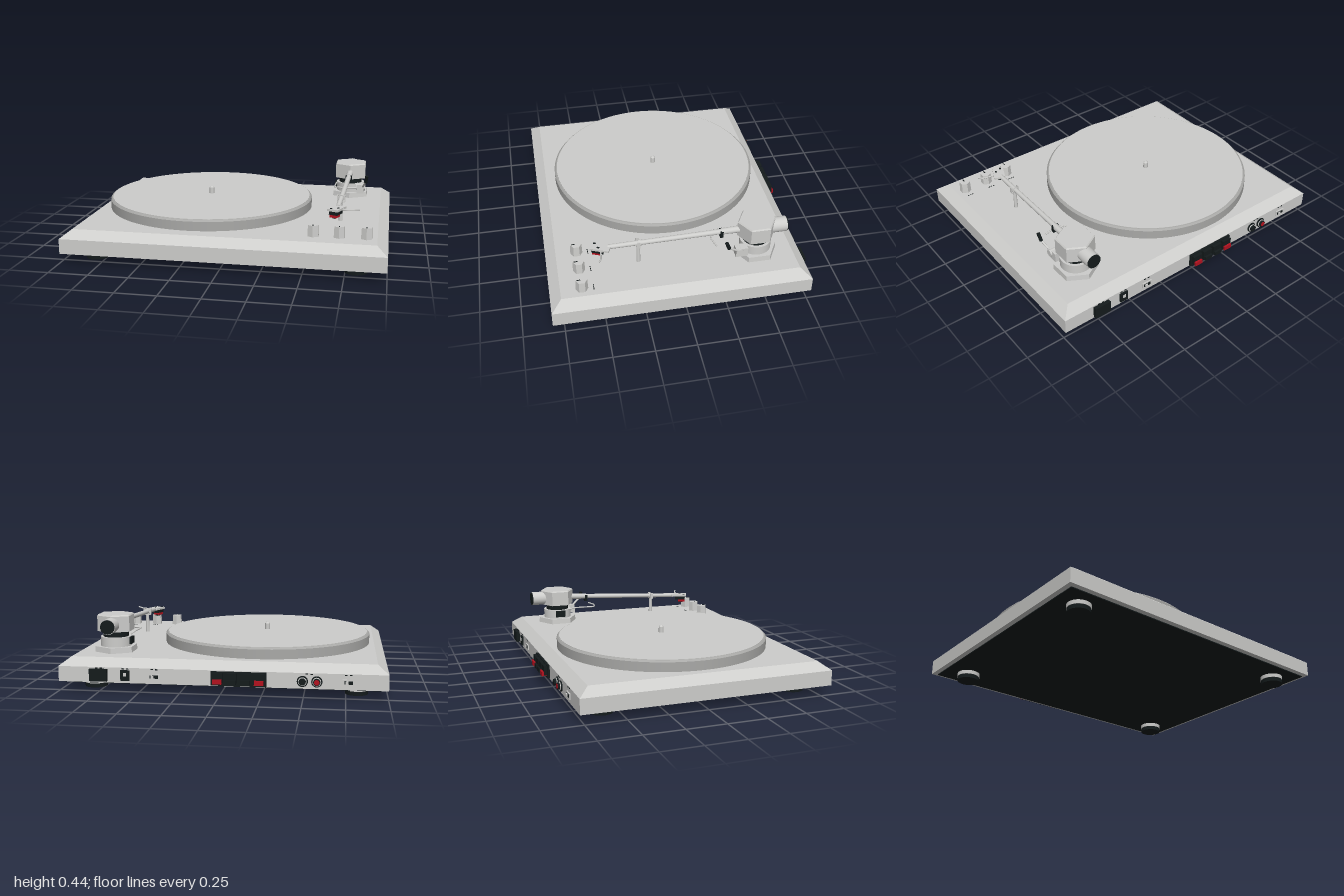
import * as THREE from 'three';

const mat = (name, color, extra = {}) => {
  const m = new THREE.MeshStandardMaterial({ color, ...extra });
  m.name = name;
  return m;
};

export function createModel() {
  const silver = mat('silver', 0xcdcdcb);
  const grey = mat('rim grey', 0xa9a9a7);
  const black = mat('black', 0x141b1c);
  const red = mat('red', 0xb3121f);
  const root = new THREE.Group();
  root.name = 'turntable';

  const group = (name, parent = root) => {
    const g = new THREE.Group();
    g.name = name;
    parent.add(g);
    return g;
  };
  const add = (parent, name, geo, material, x = 0, y = 0, z = 0) => {
    const m = new THREE.Mesh(geo, material);
    m.name = name;
    m.position.set(x, y, z);
    parent.add(m);
    return m;
  };
  const box = (parent, name, material, w, h, d, x, y, z) =>
    add(parent, name, new THREE.BoxGeometry(w, h, d), material, x, y, z);
  // Upright cylinder from y0 to y1
  const drum = (parent, name, material, r0, r1, y0, y1, x, z, n = 32) =>
    add(parent, name, new THREE.CylinderGeometry(r1, r0, y1 - y0, n), material, x, (y0 + y1) / 2, z);
  // Faceted hexagonal prism with corners along z
  const hex = (parent, name, material, r0, r1, y0, y1, x, z) => {
    const m = drum(parent, name, material, r0, r1, y0, y1, x, z, 6);
    m.geometry = m.geometry.toNonIndexed();
    m.geometry.computeVertexNormals();
    return m;
  };
  // Rod between two points
  const rod = (parent, name, material, a, b, ra, rb = ra, n = 20) => {
    const p = new THREE.Vector3(...a), q = new THREE.Vector3(...b);
    const dir = q.clone().sub(p);
    const m = add(parent, name, new THREE.CylinderGeometry(rb, ra, dir.length(), n), material);
    m.position.copy(p).add(q).multiplyScalar(0.5);
    m.quaternion.setFromUnitVectors(new THREE.Vector3(0, 1, 0), dir.normalize());
    return m;
  };
  const wire = (parent, name, material, pts, r) => add(parent, name, new THREE.TubeGeometry(
    new THREE.CatmullRomCurve3(pts.map(p => new THREE.Vector3(...p)), false, 'catmullrom', 0.15), 32, r, 8), material);

  // Plinth: straight sides, bevelled top, dark underside
  const plinth = group('plinth');
  box(plinth, 'plinthBody', silver, 2, 0.095, 1.595, 0, 0.1075, 0.0225);
  const bevel = new THREE.BoxGeometry(2, 0.05, 1.595).toNonIndexed();
  const p = bevel.attributes.position;
  for (let i = 0; i < p.count; i++) {
    if (p.getY(i) > 0) {
      p.setX(i, p.getX(i) - 0.065 * Math.sign(p.getX(i)));
      p.setZ(i, p.getZ(i) - 0.065 * Math.sign(p.getZ(i)));
    }
  }
  bevel.computeVertexNormals();
  add(plinth, 'plinthBevel', bevel, silver, 0, 0.18, 0.0225);
  box(plinth, 'bottomPanel', black, 1.94, 0.006, 1.535, 0, 0.054, 0.0225);

  // Feet
  for (const x of [-0.815, 0.815]) for (const z of [-0.6, 0.65]) {
    const foot = group('foot');
    drum(foot, 'footCollar', silver, 0.073, 0.073, 0.026, 0.055, x, z);
    drum(foot, 'footPad', black, 0.07, 0.07, 0, 0.026, x, z);
  }

  // Platter with chamfered rim and spindle
  const platter = group('platter');
  platter.position.x = -0.213;
  drum(platter, 'subPlatter', black, 0.63, 0.63, 0.2, 0.216, 0, 0, 96);
  drum(platter, 'platterRim', grey, 0.69, 0.69, 0.213, 0.272, 0, 0, 96);
  drum(platter, 'platterChamfer', grey, 0.69, 0.68, 0.272, 0.282, 0, 0, 96);
  drum(platter, 'platterMat', silver, 0.674, 0.674, 0.28, 0.285, 0, 0, 96);
  drum(platter, 'spindle', silver, 0.016, 0.016, 0.285, 0.325, 0, 0, 20);
  drum(platter, 'spindleTip', silver, 0.016, 0.008, 0.325, 0.335, 0, 0, 20);

  // Control knobs with pointer marks and dashes above
  for (const x of [0.55, 0.708, 0.87]) {
    const knob = group('knob');
    hex(knob, 'knobBody', silver, 0.038, 0.035, 0.205, 0.275, x, 0.625);
    box(knob, 'knobPointer', black, 0.006, 0.003, 0.022, x, 0.2755, 0.642);
    for (const d of [-0.017, 0, 0.017])
      box(knob, 'scaleDash', black, 0.009, 0.003, 0.006, x + d, 0.2055, 0.555);
  }

  // Tonearm base and pivot housing
  const arm = group('tonearm');
  const X = 0.715, Z = -0.48;
  hex(arm, 'armBase', silver, 0.138, 0.135, 0.205, 0.24, X, Z);
  drum(arm, 'armColumn', silver, 0.098, 0.098, 0.24, 0.3, X, Z);
  drum(arm, 'armCollar', black, 0.08, 0.08, 0.3, 0.337, X, Z);
  hex(arm, 'pivotHousing', silver, 0.12, 0.12, 0.337, 0.436, X, Z);
  hex(arm, 'pivotHousingTop', silver, 0.12, 0.113, 0.436, 0.444, X, Z);
  box(arm, 'antiSkateDial', black, 0.012, 0.045, 0.07, X - 0.103, 0.275, Z);

  // Counterweight
  rod(arm, 'counterweight', silver, [X, 0.383, -0.57], [X, 0.383, -0.668], 0.048, 0.048, 32);
  rod(arm, 'counterweightCap', black, [X, 0.383, -0.668], [X, 0.383, -0.674], 0.045, 0.045, 32);

  // Arm tube
  rod(arm, 'armSleeve', silver, [X, 0.383, -0.38], [0.711, 0.377, -0.26], 0.022, 0.02);
  rod(arm, 'armTube', silver, [0.711, 0.377, -0.27], [0.684, 0.342, 0.44], 0.017, 0.015);
  rod(arm, 'armRing', silver, [0.692, 0.352, 0.238], [0.6915, 0.351, 0.252], 0.022);
  box(arm, 'armClip', black, 0.042, 0.045, 0.02, 0.711, 0.365, -0.26);

  // Headshell, cartridge and finger lift
  const head = group('headshell', arm);
  head.position.set(0.678, 0.335, 0.485);
  head.rotation.y = -0.4;
  const outline = new THREE.Shape([[-0.038, -0.05], [-0.02, -0.062], [0.036, -0.062], [0.036, 0.058], [-0.036, 0.058]]
    .map(([x, z]) => new THREE.Vector2(x, -z)));
  const plate = new THREE.ExtrudeGeometry(outline, { depth: 0.014, bevelEnabled: false });
  add(head, 'headshellPlate', plate.rotateX(-Math.PI / 2), silver, 0, 0.001, 0);
  box(head, 'cartridgeBody', black, 0.055, 0.024, 0.075, 0, -0.011, 0.012);
  box(head, 'stylusHolder', red, 0.046, 0.018, 0.05, 0, -0.031, 0.022);
  box(head, 'stylus', black, 0.02, 0.01, 0.035, 0, -0.043, 0.015);
  for (const x of [-0.016, 0.016])
    box(head, 'headshellScrew', black, 0.011, 0.003, 0.016, x, 0.0155, 0.025 - x);
  wire(arm, 'fingerLift', silver, [[0.705, 0.34, 0.485], [0.75, 0.34, 0.49], [0.79, 0.343, 0.495], [0.822, 0.35, 0.512]], 0.005);

  // Arm rest
  const rest = group('armRest');
  drum(rest, 'restPost', silver, 0.013, 0.011, 0.205, 0.335, 0.692, 0.255, 16);
  box(rest, 'restCradle', silver, 0.05, 0.008, 0.02, 0.692, 0.331, 0.255);
  for (const s of [-1, 1]) box(rest, 'restProng', silver, 0.007, 0.04, 0.02, 0.692 + s * 0.024, 0.352, 0.255);

  // Cueing bar and lever
  const cue = group('cueLift');
  wire(cue, 'cueBar', silver, [[0.64, 0.3, -0.41], [0.622, 0.312, -0.36], [0.617, 0.312, -0.225],
    [0.69, 0.312, -0.203], [0.768, 0.312, -0.222]], 0.005);
  box(cue, 'cueBlock', silver, 0.05, 0.06, 0.075, 0.79, 0.275, -0.37);
  rod(cue, 'cuePivot', silver, [0.76, 0.285, -0.355], [0.825, 0.285, -0.355], 0.022);
  rod(cue, 'cueLever', silver, [0.805, 0.285, -0.35], [0.832, 0.345, -0.275], 0.007);
  rod(cue, 'cueLeverTip', black, [0.83, 0.338, -0.282], [0.836, 0.388, -0.262], 0.011);

  // Rear connectors
  const back = group('rearPanel');
  const B = -0.775;
  const plug = (name, m, x, y, r, z0, z1) => rod(back, name, m, [x, y, B - z0], [x, y, B - z1], r, r, 24);
  box(back, 'powerInlet', black, 0.11, 0.075, 0.025, 0.745, 0.108, B - 0.0115);
  box(back, 'powerSwitch', black, 0.055, 0.065, 0.012, 0.58, 0.108, B - 0.005);
  box(back, 'switchRocker', silver, 0.02, 0.022, 0.004, 0.58, 0.115, B - 0.012);
  for (const x of [0.4, -0.765]) {
    box(back, 'selectorFrame', silver, 0.07, 0.035, 0.008, x, 0.105, B - 0.003);
    box(back, 'selectorSlot', black, 0.05, 0.02, 0.003, x, 0.105, B - 0.0075);
    box(back, 'selectorTab', silver, 0.018, 0.016, 0.012, x + 0.01, 0.105, B - 0.01);
  }
  // Speaker terminals
  box(back, 'terminalPlate', black, 0.335, 0.085, 0.016, -0.115, 0.108, B - 0.007);
  [-0.24, -0.157, -0.074, 0.01].forEach((x, i) => {
    const m = i % 3 === 0 ? red : black;
    box(back, 'terminalBlock', black, 0.066, 0.06, 0.022, x, 0.115, B - 0.024);
    box(back, 'terminalTab', m, 0.056, 0.028, 0.032, x, 0.094, B - 0.032);
  });
  // Phono sockets
  [[-0.495, black], [-0.58, red]].forEach(([x, m]) => {
    plug('socketFlange', black, x, 0.105, 0.033, 0, 0.008);
    plug('socketRing', silver, x, 0.105, 0.026, 0.008, 0.012);
    plug('socketBarrel', black, x, 0.105, 0.021, 0.012, 0.025);
    plug('socketCore', m, x, 0.105, 0.016, 0.025, 0.028);
  });
  // Dashes above the rear connectors
  for (const x of [0.745, 0.58, 0.4, -0.535, -0.765]) for (const d of [-0.014, 0.014])
    box(back, 'rearDash', black, 0.014, 0.006, 0.003, x + d, 0.149, B - 0.0005);

  return root;
}
